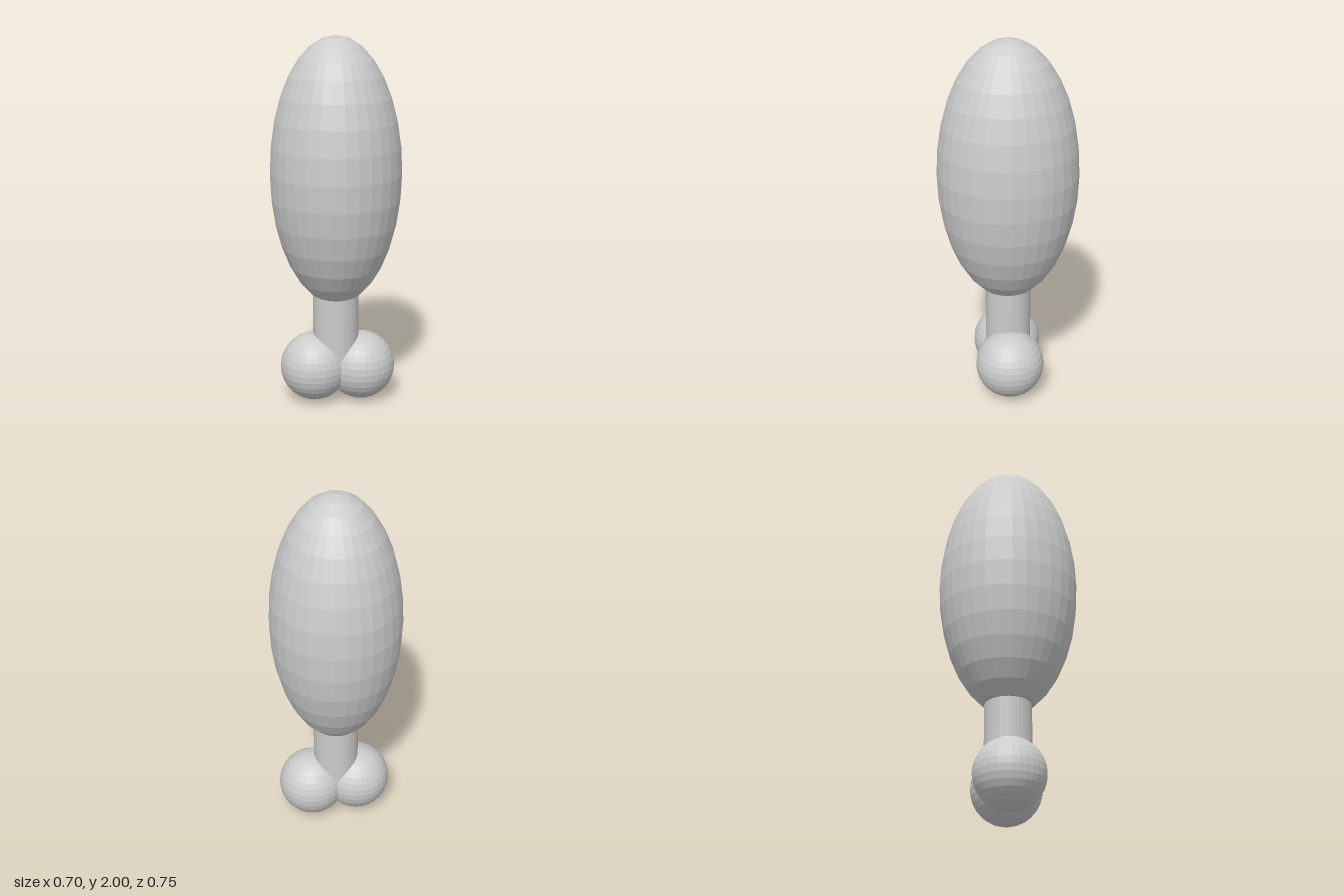
import * as THREE from 'three';

const material = new THREE.MeshStandardMaterial({ color: 0xcccccc, flatShading: true });

function addPart(group, name, geometry, x, y) {
  const mesh = new THREE.Mesh(geometry, material);
  mesh.name = name;
  mesh.position.set(x, y, 0);
  group.add(mesh);
  return mesh;
}

export function createModel() {
  const group = new THREE.Group();
  group.name = 'drumstick';

  // Meat: a tall ellipsoid, slightly deeper than wide
  const meat = new THREE.SphereGeometry(1, 32, 16).scale(0.35, 0.72, 0.375);
  addPart(group, 'meat', meat, 0, 1.28);

  // Bone shaft, running from inside the meat into the knobs
  const top = 0.75, bottom = 0.18;
  const shaft = new THREE.CylinderGeometry(0.125, 0.125, top - bottom, 32);
  addPart(group, 'boneShaft', shaft, 0, (top + bottom) / 2);

  // Two overlapping knobs at the end of the bone
  const knob = new THREE.SphereGeometry(0.188, 32, 16);
  addPart(group, 'rightBoneKnob', knob, -0.118, 0.197);
  addPart(group, 'leftBoneKnob', knob, 0.138, 0.19);

  return group;
}
